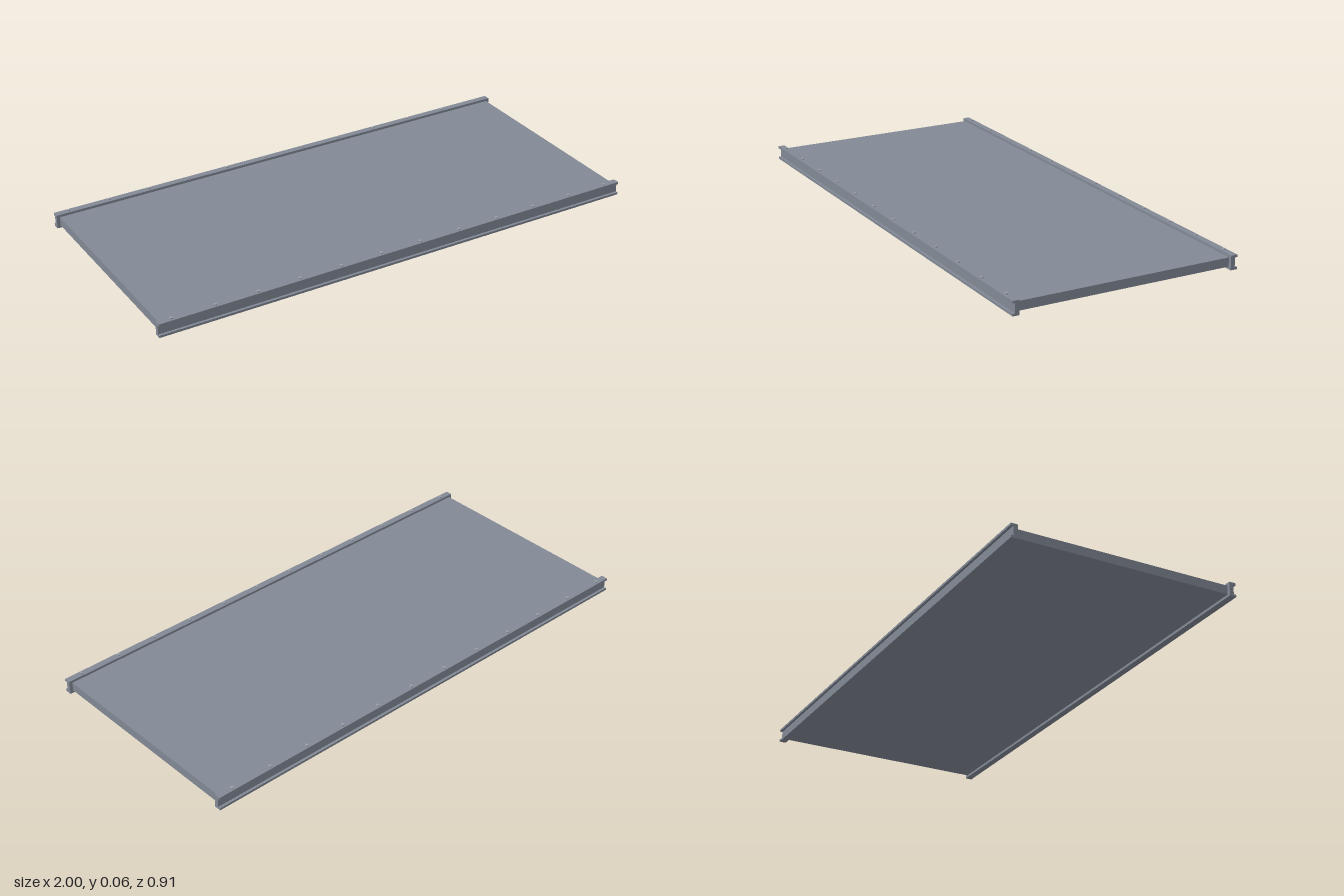
import * as THREE from 'three';

export function createModel() {
  const group = new THREE.Group();
  group.name = 'deckPanel';
  const steel = new THREE.MeshStandardMaterial({ color: 0x828995 });
  const boltSteel = new THREE.MeshStandardMaterial({ color: 0x9a9fa8 });

  const add = (name, geometry, material, x, y, z, parent = group) => {
    const mesh = new THREE.Mesh(geometry, material);
    mesh.name = name;
    mesh.position.set(x, y, z);
    parent.add(mesh);
  };

  // Flat deck between the rails, slightly shorter than them
  add('deck', new THREE.BoxGeometry(1.974, 0.035, 0.858), steel, 0, 0.0275, 0);

  // Channel section, open towards the outside: [z, y]
  const section = [
    [0.429, 0], [0.456, 0], [0.456, 0.009], [0.446, 0.009],
    [0.446, 0.046], [0.456, 0.046], [0.456, 0.055], [0.429, 0.055],
  ];
  const shape = new THREE.Shape(section.map(([z, y]) => new THREE.Vector2(z, y)));
  const railGeometry = new THREE.ExtrudeGeometry(shape, { depth: 2, bevelEnabled: false });
  railGeometry.translate(0, 0, -1);
  railGeometry.rotateY(-Math.PI / 2); // section across z, length along x

  const boltGeometry = new THREE.CylinderGeometry(0.006, 0.006, 0.006, 12);

  // Front and back rails, each with a row of bolts on the top flange
  for (const side of [1, -1]) {
    const rail = new THREE.Group();
    rail.name = side > 0 ? 'frontRail' : 'backRail';
    const geometry = side > 0 ? railGeometry : railGeometry.clone().rotateY(Math.PI);
    add('channel', geometry, steel, 0, 0, 0, rail);
    for (let i = 0; i < 12; i++) {
      add('bolt', boltGeometry, boltSteel, -0.946 + i * 0.171, 0.057, side * 0.443, rail);
    }
    group.add(rail);
  }

  return group;
}
